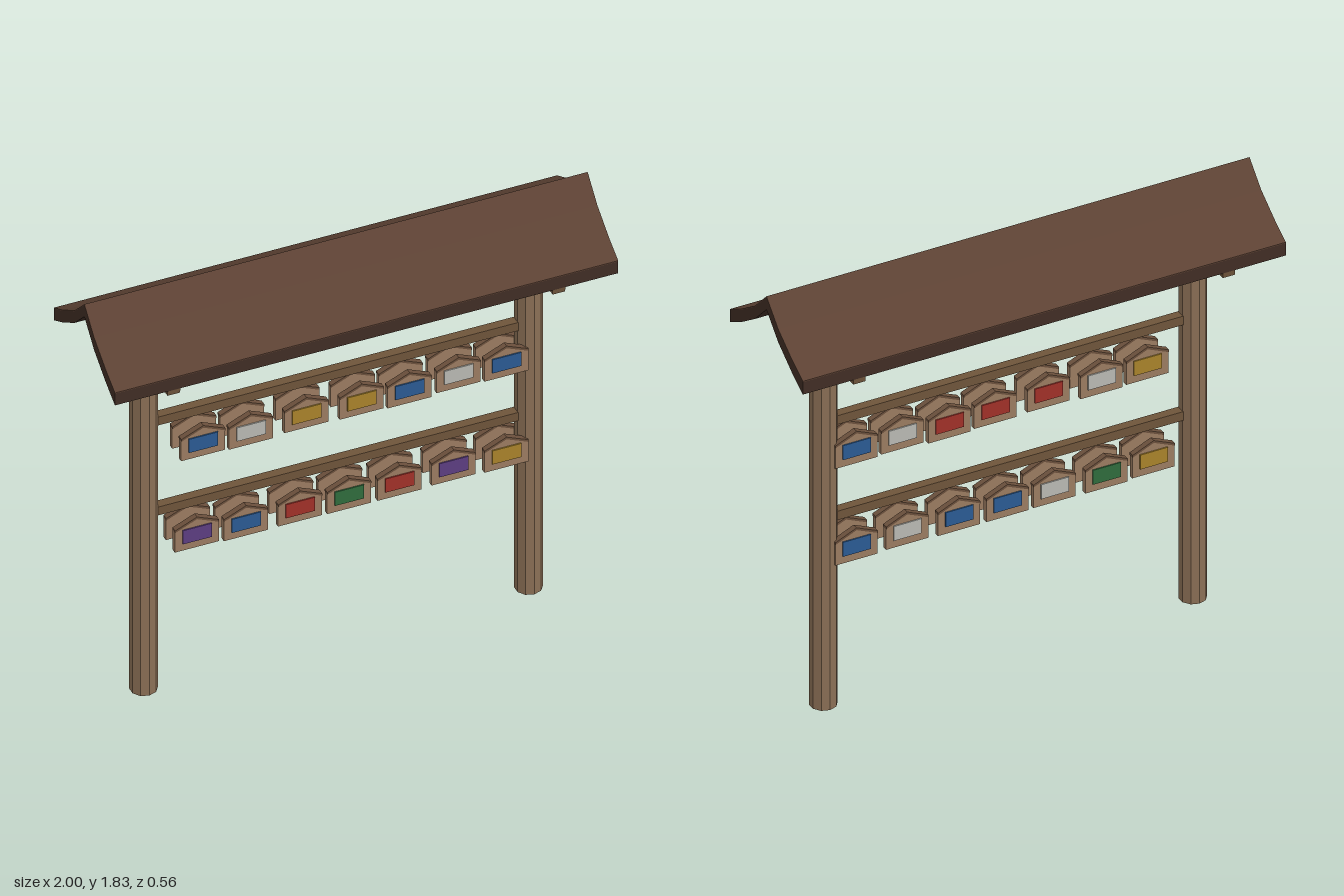
import * as THREE from 'three';

const paint = (color) => new THREE.MeshStandardMaterial({ color, flatShading: true });
const post = paint(0x8a6f55), beam = paint(0x6e543a), plank = paint(0x9a7b60);
const shingle = paint(0x5c4133), darkWood = paint(0x402d24), trimWood = paint(0x6b503c);
const panelPaint = {
  b: paint(0x2a5a92), w: paint(0xb8b8b2), y: paint(0xa8822a),
  r: paint(0xa03028), g: paint(0x2f6b3c), p: paint(0x5c3d80),
};

function add(parent, name, geometry, material, x = 0, y = 0, z = 0) {
  const mesh = new THREE.Mesh(geometry, material);
  mesh.name = name;
  mesh.position.set(x, y, z);
  parent.add(mesh);
  return mesh;
}

// Extrude [x, y] points along z, centred on z = 0
function slab(points, depth) {
  const shape = new THREE.Shape(points.map(([x, y]) => new THREE.Vector2(x, y)));
  return new THREE.ExtrudeGeometry(shape, { depth, bevelEnabled: false }).translate(0, 0, -depth / 2);
}

// Curved roof line from eave to eave, shifted down by drop
const half = [[0.09, 1.735], [0.195, 1.663], [0.28, 1.615]];
function roofLine(drop) {
  const line = [...half.map(([z, y]) => [-z, y]).reverse(), [0, 1.826], ...half];
  return line.map(([z, y]) => [z, y - drop]);
}
const band = (top, bottom) => [...roofLine(bottom), ...roofLine(top).reverse()];

// House-shaped plaque standing on y = 0, facing +z
const W = 0.0875, EAVE = 0.1, PEAK = 0.138, TRIM = 0.01;
const bodyGeo = slab([[-W, 0], [W, 0], [W, EAVE - TRIM], [0, PEAK - TRIM], [-W, EAVE - TRIM]], 0.02);
const trimGeo = slab([
  [-W, EAVE - TRIM], [0, PEAK - TRIM], [W, EAVE - TRIM], [W, EAVE], [0, PEAK], [-W, EAVE],
], 0.024);
const panelGeo = new THREE.BoxGeometry(0.115, 0.062, 0.008);

function plaque(color) {
  const group = new THREE.Group();
  group.name = 'plaque';
  add(group, 'plaqueBoard', bodyGeo, plank);
  add(group, 'plaqueRoofTrim', trimGeo, trimWood);
  add(group, 'plaquePanel', panelGeo, panelPaint[color], 0, 0.063, 0.011);
  return group;
}

// Each rail: plaque centres, their bottom heights, colours on both faces (all from -x to +x)
const rows = [
  {
    rail: 1.217, front: 'bwyybwb', back: 'ywrrrwb',
    x: [-0.55, -0.36, -0.14, 0.08, 0.27, 0.465, 0.655],
    y: [1.033, 1.028, 1.037, 1.032, 1.026, 1.037, 1.032],
  },
  {
    rail: 0.805, front: 'pbrgrpy', back: 'ygwbbwb',
    x: [-0.575, -0.38, -0.165, 0.03, 0.23, 0.445, 0.655],
    y: [0.622, 0.615, 0.617, 0.615, 0.615, 0.62, 0.615],
  },
];

export function createModel() {
  const model = new THREE.Group();
  model.name = 'plaqueRack';

  // Posts and gable boards
  const postGeo = new THREE.CylinderGeometry(0.053, 0.053, 1.47, 10);
  const gableGeo = slab([[-0.278, 1.537], [0.278, 1.537], ...roofLine(0.054).reverse()], 0.05);
  for (const side of [-1, 1]) {
    add(model, 'post', postGeo, post, side * 0.765, 0.735, 0);
    add(model, 'gableBoard', gableGeo, beam, side * 0.765).rotation.y = Math.PI / 2;
  }

  // Top beam
  add(model, 'topBeam', new THREE.BoxGeometry(1.76, 0.095, 0.102), beam, 0, 1.512, 0);

  // Roof: dark slab with a thin shingle skin on top
  add(model, 'roofSlab', slab(band(0.004, 0.057), 2), darkWood).rotation.y = Math.PI / 2;
  add(model, 'roofShingles', slab(band(0, 0.004), 2), shingle).rotation.y = Math.PI / 2;

  // Rails with plaques hanging on both faces
  const railGeo = new THREE.BoxGeometry(1.44, 0.038, 0.038);
  for (const row of rows) {
    add(model, 'rail', railGeo, beam, 0, row.rail, 0);
    row.x.forEach((x, i) => {
      const front = plaque(row.front[i]);
      front.position.set(x, row.y[i], 0.041);
      const back = plaque(row.back[i]);
      back.position.set(x, row.y[i], -0.041);
      back.rotation.y = Math.PI;
      model.add(front, back);
    });
  }
  return model;
}
